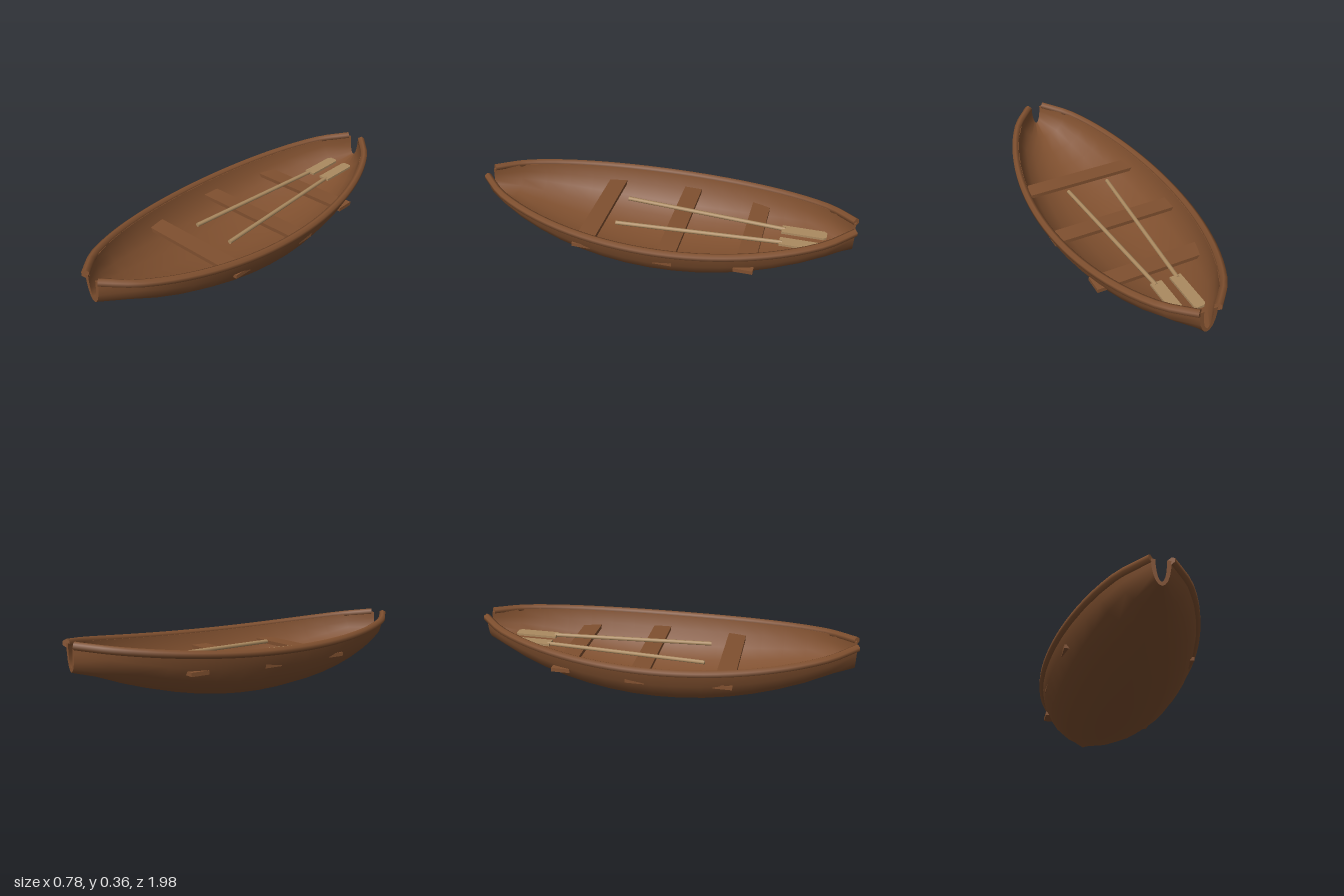
import * as THREE from 'three';

const HALF = 0.98, STATIONS = 16, SIDES = 10, WALL = 0.02;

// Hull lines: half width, sheer height and keel height along z
const halfWidth = z => 0.37 * Math.pow(1 - z * z, 0.65);
const sheer = z => 0.268 + 0.075 * z * z;
const keel = z => Math.min(0.235 * z * z, 0.207) + 0.002;

// Point on the half-elliptic section, inset by the wall thickness
function hullPoint(i, j, inset) {
  const z = HALF * (2 * i / STATIONS - 1);
  const a = Math.PI * (j / SIDES - 0.5);
  const top = sheer(z);
  return [
    (halfWidth(z) - inset) * Math.sin(a),
    top - (top - keel(z) - inset) * Math.cos(a),
    z,
  ];
}

// Grid surface from a point rule
function loft(rows, cols, point, flip) {
  const pos = [], idx = [];
  for (let i = 0; i <= rows; i++)
    for (let j = 0; j <= cols; j++) pos.push(...point(i, j));
  for (let i = 0; i < rows; i++) {
    for (let j = 0; j < cols; j++) {
      const a = i * (cols + 1) + j, b = a + cols + 1;
      if (flip) idx.push(a, a + 1, b, b, a + 1, b + 1);
      else idx.push(a, b, a + 1, b, b + 1, a + 1);
    }
  }
  const g = new THREE.BufferGeometry();
  g.setAttribute('position', new THREE.Float32BufferAttribute(pos, 3));
  g.setIndex(idx);
  g.computeVertexNormals();
  return g;
}

export function createModel() {
  const boat = new THREE.Group();
  boat.name = 'rowingBoat';
  const hullWood = new THREE.MeshStandardMaterial({ color: 0x80502f });
  hullWood.name = 'brown wood';
  const oarWood = new THREE.MeshStandardMaterial({ color: 0xab8a60 });
  oarWood.name = 'pale wood';

  const add = (name, geometry, material, parent = boat) => {
    const m = new THREE.Mesh(geometry, material);
    m.name = name;
    parent.add(m);
    return m;
  };

  // Hull skins, top edges and the open U-shaped ends
  const hull = new THREE.Group();
  hull.name = 'hull';
  boat.add(hull);
  add('outerHull', loft(STATIONS, SIDES, (i, j) => hullPoint(i, j, 0), true), hullWood, hull);
  add('innerHull', loft(STATIONS, SIDES, (i, j) => hullPoint(i, j, WALL), false), hullWood, hull);
  add('rightEdge', loft(STATIONS, 1, (i, j) => hullPoint(i, 0, j * WALL), false), hullWood, hull);
  add('leftEdge', loft(STATIONS, 1, (i, j) => hullPoint(i, SIDES, (1 - j) * WALL), false), hullWood, hull);
  add('frontEnd', loft(1, SIDES, (i, j) => hullPoint(STATIONS, j, i * WALL), true), hullWood, hull);
  add('backEnd', loft(1, SIDES, (i, j) => hullPoint(0, j, i * WALL), false), hullWood, hull);

  // Six-sided gunwale rails with closed ends
  for (const side of [-1, 1]) {
    const points = [];
    for (let i = 0; i <= STATIONS; i++) {
      const z = HALF * (2 * i / STATIONS - 1);
      points.push(new THREE.Vector3(side * halfWidth(z), sheer(z), z));
    }
    const rail = new THREE.TubeGeometry(new THREE.CatmullRomCurve3(points), 32, 0.02, 6);
    const name = side > 0 ? 'leftGunwale' : 'rightGunwale';
    add(name, rail, hullWood);
    const p = rail.attributes.position;
    [[0, points[0], false], [32 * 7, points[STATIONS], true]].forEach(([start, c, flip]) => {
      const cap = loft(1, 6, (i, j) => {
        const k = start + j;
        return i ? [p.getX(k), p.getY(k), p.getZ(k)] : c.toArray();
      }, flip);
      // Face each cap away from the boat
      if (cap.attributes.normal.getZ(8) * c.z < 0) {
        cap.setIndex(Array.from(cap.index.array).reverse());
        cap.computeVertexNormals();
      }
      add(name + 'End', cap, hullWood);
    });
  }

  // Benches, their ends let through the hull
  [['backBench', -0.48, 0.31], ['middleBench', -0.083, 0.352], ['frontBench', 0.35, 0.325]]
    .forEach(([name, z, half]) => {
      add(name, new THREE.BoxGeometry(2 * half, 0.02, 0.097), hullWood).position.set(0, 0.196, z);
    });

  // Oars resting on the benches
  const bladeShape = new THREE.Shape();
  [[-0.03, 0], [0.03, 0], [0.03, 0.215], [0.018, 0.23], [-0.018, 0.23], [-0.03, 0.215]]
    .forEach(([x, y], i) => (i ? bladeShape.lineTo(x, y) : bladeShape.moveTo(x, y)));
  const bladeGeometry = new THREE.ExtrudeGeometry(bladeShape, { depth: 0.012, bevelEnabled: false });
  bladeGeometry.rotateX(-Math.PI / 2);

  for (const side of [-1, 1]) {
    const oar = new THREE.Group();
    oar.name = side > 0 ? 'leftOar' : 'rightOar';
    boat.add(oar);
    const from = new THREE.Vector3(side * 0.117, 0.22, 0.23);
    const to = new THREE.Vector3(side * 0.058, 0.22, -0.635);
    const shaft = add('shaft', new THREE.CylinderGeometry(0.011, 0.011, from.distanceTo(to), 8), oarWood, oar);
    shaft.position.copy(from).add(to).multiplyScalar(0.5);
    shaft.quaternion.setFromUnitVectors(new THREE.Vector3(0, 1, 0), to.clone().sub(from).normalize());
    add('blade', bladeGeometry, oarWood, oar).position.set(side * 0.052, 0.214, -0.62);
  }
  return boat;
}
